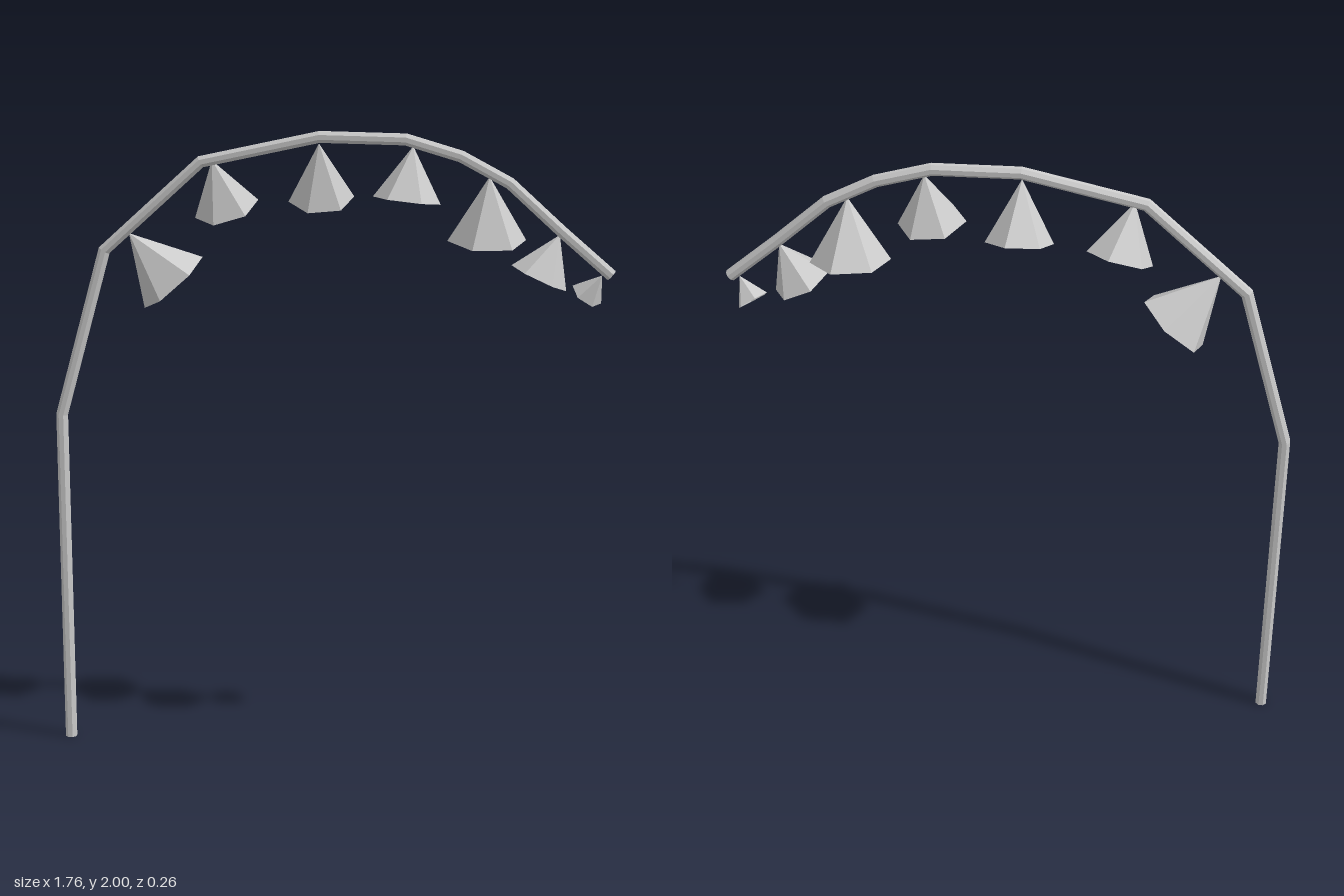
import * as THREE from 'three';

const STEM_Z = 0.025;
const STEM_RADIUS = 0.019;
const STEM_SIDES = 8;

const stemPath = [
  [-0.865, 0], [-0.865, 1.09], [-0.715, 1.62], [-0.405, 1.9], [-0.035, 1.98],
  [0.23, 1.975], [0.4, 1.925], [0.55, 1.845], [0.71, 1.7], [0.865, 1.567],
].map(([x, y]) => new THREE.Vector2(x, y));

// Bells: apex x, y; rim centre x, y, z; rim radius; twist around the axis
const bells = [
  [-0.635, 1.675, -0.502, 1.517, -0.007, 0.122, 0.73],
  [-0.37, 1.905, -0.335, 1.748, -0.036, 0.103, 0.73],
  [-0.037, 1.96, -0.037, 1.782, -0.04, 0.103, 0.73],
  [0.253, 1.955, 0.235, 1.79, 0.037, 0.105, 0.52],
  [0.487, 1.865, 0.48, 1.665, -0.007, 0.123, 0.73],
  [0.704, 1.69, 0.643, 1.557, 0.035, 0.093, 0.52],
  [0.836, 1.567, 0.791, 1.502, -0.008, 0.053, 0.52],
];

// Sweeps a polygon along a flat path with mitred joints and capped ends
function sweepPath(path, z, radius, sides) {
  const positions = [];
  const index = [];
  const last = path.length - 1;
  path.forEach((p, i) => {
    const before = p.clone().sub(path[Math.max(i - 1, 0)]).normalize();
    const after = path[Math.min(i + 1, last)].clone().sub(p).normalize();
    const tangent = before.clone().add(after).normalize();
    const miter = 1 / tangent.dot(i < last ? after : before);
    for (let s = 0; s < sides; s++) {
      const a = ((s + 0.5) / sides) * Math.PI * 2;
      const side = Math.cos(a) * radius * miter;
      positions.push(p.x + tangent.y * side, p.y - tangent.x * side, z + Math.sin(a) * radius);
    }
  });
  for (let i = 0; i < last; i++) {
    for (let s = 0; s < sides; s++) {
      const a = i * sides + s;
      const b = i * sides + ((s + 1) % sides);
      index.push(a, a + sides, b, b, a + sides, b + sides);
    }
  }
  for (let s = 1; s < sides - 1; s++) {
    index.push(0, s, s + 1);
    const e = last * sides;
    index.push(e, e + s + 1, e + s);
  }
  const geometry = new THREE.BufferGeometry();
  geometry.setAttribute('position', new THREE.Float32BufferAttribute(positions, 3));
  geometry.setIndex(index);
  geometry.computeVertexNormals();
  return geometry;
}

// Open six-sided bell hanging from its apex
function makeBell([ax, ay, cx, cy, cz, radius, twist], material) {
  const apex = new THREE.Vector3(ax, ay, STEM_Z);
  const rim = new THREE.Vector3(cx, cy, cz);
  const axis = apex.clone().sub(rim);
  const geometry = new THREE.ConeGeometry(radius, axis.length(), 6, 1, true, twist);
  const bell = new THREE.Mesh(geometry, material);
  bell.position.copy(apex).add(rim).multiplyScalar(0.5);
  bell.quaternion.setFromUnitVectors(new THREE.Vector3(0, 1, 0), axis.normalize());
  return bell;
}

export function createModel() {
  const model = new THREE.Group();
  model.name = 'bellFlower';
  const stemMaterial = new THREE.MeshStandardMaterial({
    color: 0xcccccc, flatShading: true, side: THREE.DoubleSide,
  });
  const bellMaterial = stemMaterial.clone();

  // Arching stem
  const stem = new THREE.Mesh(sweepPath(stemPath, STEM_Z, STEM_RADIUS, STEM_SIDES), stemMaterial);
  stem.name = 'stem';
  model.add(stem);

  // Row of hanging blossoms
  const blossoms = new THREE.Group();
  blossoms.name = 'blossoms';
  bells.forEach((data, i) => {
    const bell = makeBell(data, bellMaterial);
    bell.name = `blossom${i + 1}`;
    blossoms.add(bell);
  });
  model.add(blossoms);
  return model;
}
